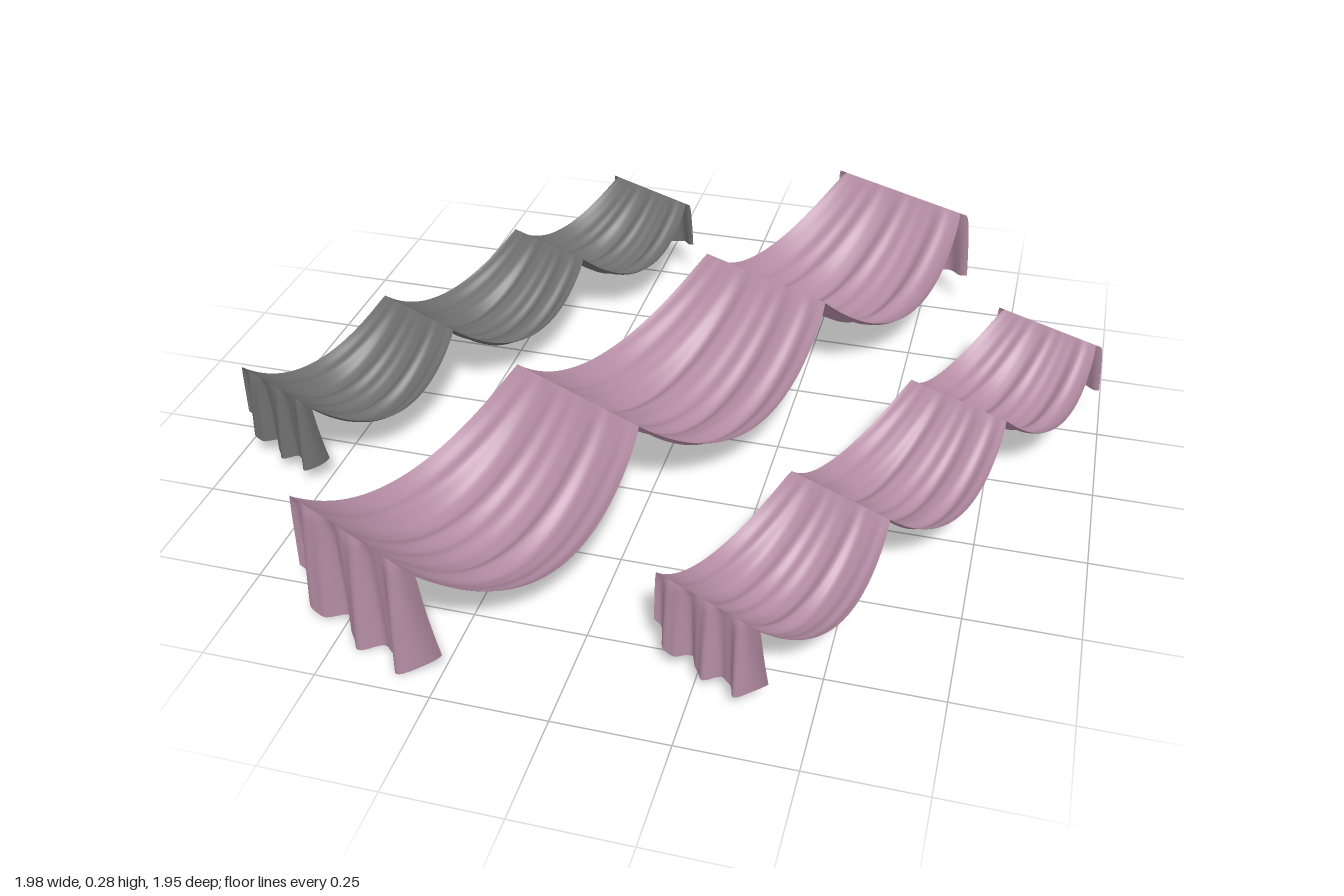
import * as THREE from 'three';

const pink = new THREE.MeshStandardMaterial({ color: 0xb48ca4, side: THREE.DoubleSide });
pink.name = 'dusty pink cloth';
const grey = new THREE.MeshStandardMaterial({ color: 0x6f6f6f, side: THREE.DoubleSide });
grey.name = 'grey cloth';

// Cloth grid: rule(v, t, out) with v from -1 to 1 across and t from 0 to 1 along
function cloth(nv, nt, rule) {
  const geo = new THREE.PlaneGeometry(2, 1, nv, nt);
  const pos = geo.attributes.position;
  const out = new THREE.Vector3();
  for (let i = 0; i < pos.count; i++) {
    rule(pos.getX(i), 0.5 - pos.getY(i), out);
    pos.setXYZ(i, out.x, out.y, out.z);
  }
  geo.computeVertexNormals();
  return geo;
}

// Irregular pleats across the width
const pleats = (v, k) =>
  0.5 * Math.sin(v * 11 + k * 1.7) + 0.35 * Math.sin(v * 18 + k * 2.9 + 1) + 0.2 * Math.sin(v * 29 + k);

// One sagging span between two supports, gathered at both ends
function swag(z0, z1, k, sag) {
  return cloth(72, 40, (v, t, out) => {
    const arch = 4 * t * (1 - t);
    const width = 0.188 + 0.058 * Math.pow(Math.max(0, Math.sin(Math.PI * t)), 0.8);
    const depth = sag * (0.16 + 0.06 * (1 - Math.pow(Math.abs(v), 2.5)));
    const drift = v + 0.06 * Math.sin(Math.PI * t);
    const fold = 0.017 * Math.pow(arch, 0.5) * (1 - 0.35 * t) * pleats(drift, k) * (1 - 0.6 * v ** 8);
    out.set(v * width, -depth * arch + fold, z0 + (z1 - z0) * t);
  });
}

// Front end: broad rounded lobes, tucked under at its left corner
function frontEnd(z) {
  return cloth(80, 20, (v, s, out) => {
    const flare = Math.sqrt(s);
    const length = 0.277 + 0.01 * v - 0.015 * v * v - 0.05 * v ** 6 + 0.006 * Math.cos(10 * v);
    const tuck = THREE.MathUtils.smoothstep(v, 0.5, 1);
    const outward = 0.008 + 0.02 * Math.cos(10 * v) + 0.005 * Math.sin(23 * v);
    const z1 = outward * (1 - tuck) - 0.03 * tuck * s;
    out.set(v * (0.193 + 0.015 * flare), -length * s, z + flare * z1);
  });
}

// Back end: wider and flatter, longest at its right corner
function backEnd(z) {
  return cloth(80, 20, (v, s, out) => {
    const x = -v;
    const flare = Math.sqrt(s);
    const length = 0.225 - 0.038 * x - 0.008 * x ** 6;
    const lobe = 0.02 * Math.exp(-(((x + 0.36) / 0.14) ** 2));
    const outward = 0.014 + 0.013 * Math.cos(12 * (x + 0.36)) + lobe;
    out.set(x * (0.208 + 0.02 * flare), -length * s, z - flare * outward);
  });
}

const supports = [-0.97, -0.357, 0.325, 0.97];
const parts = [
  ['backHangingEnd', backEnd(supports[0])],
  ['backSwag', swag(supports[0], supports[1], 0, 0.93)],
  ['middleSwag', swag(supports[1], supports[2], 1, 1)],
  ['frontSwag', swag(supports[2], supports[3], 2, 1.04)],
  ['frontHangingEnd', frontEnd(supports[3])],
];

function canopy(name, material, x, top, z, scale) {
  const group = new THREE.Group();
  group.name = name;
  for (const [partName, geo] of parts) {
    const mesh = new THREE.Mesh(geo, material);
    mesh.name = partName;
    group.add(mesh);
  }
  group.position.set(x, top, z);
  group.rotation.y = -0.453;
  group.scale.setScalar(scale);
  return group;
}

export function createModel() {
  const model = new THREE.Group();
  model.name = 'drapedCanopies';
  model.add(
    canopy('largePinkCanopy', pink, -0.015, 0.283, 0.008, 1),
    canopy('smallPinkCanopy', pink, 0.562, 0.23, 0.243, 0.675),
    canopy('smallGreyCanopy', grey, -0.577, 0.23, -0.213, 0.675)
  );
  return model;
}
